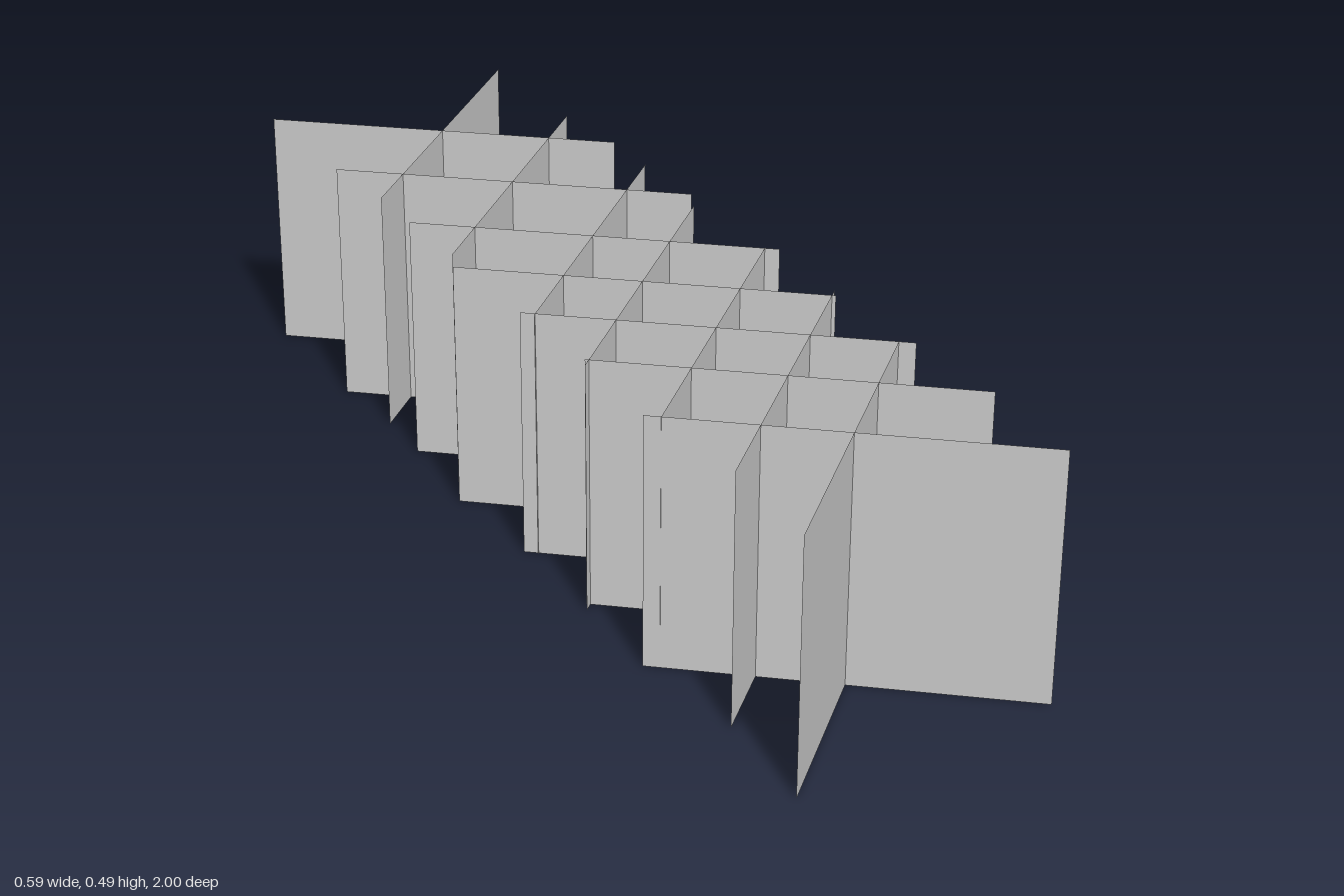
import * as THREE from 'three';

const HEIGHT = 0.49;

// Centre (x, z) of each pair of crossed cards, front to back
const CENTRES = [
  [0.01, 0.75], [0.022, 0.52], [0.008, 0.30], [-0.013, 0.07],
  [0.002, -0.15], [-0.015, -0.45], [-0.022, -0.75],
];

// Half-width vectors (x, z) of the two cards in a pair
const CARDS = { cardRightFront: [0.275, 0.22], cardLeftFront: [0.25, -0.25] };

export function createModel() {
  const model = new THREE.Group();
  model.name = 'grassRow';
  const material = new THREE.MeshStandardMaterial({ color: 0xcccccc, side: THREE.DoubleSide });

  // One upright card standing on the ground, turned to follow its half-width vector
  const geometries = Object.entries(CARDS).map(([name, [dx, dz]]) => {
    const geometry = new THREE.PlaneGeometry(2 * Math.hypot(dx, dz), HEIGHT);
    geometry.translate(0, HEIGHT / 2, 0);
    geometry.rotateY(-Math.atan2(dz, dx));
    return [name, geometry];
  });

  // Repeat the crossed pair along the row
  CENTRES.forEach(([x, z], i) => {
    const tuft = new THREE.Group();
    tuft.name = `crossedTuft${i + 1}`;
    tuft.position.set(x, 0, z);
    for (const [name, geometry] of geometries) {
      const card = new THREE.Mesh(geometry, material);
      card.name = name;
      tuft.add(card);
    }
    model.add(tuft);
  });
  return model;
}
